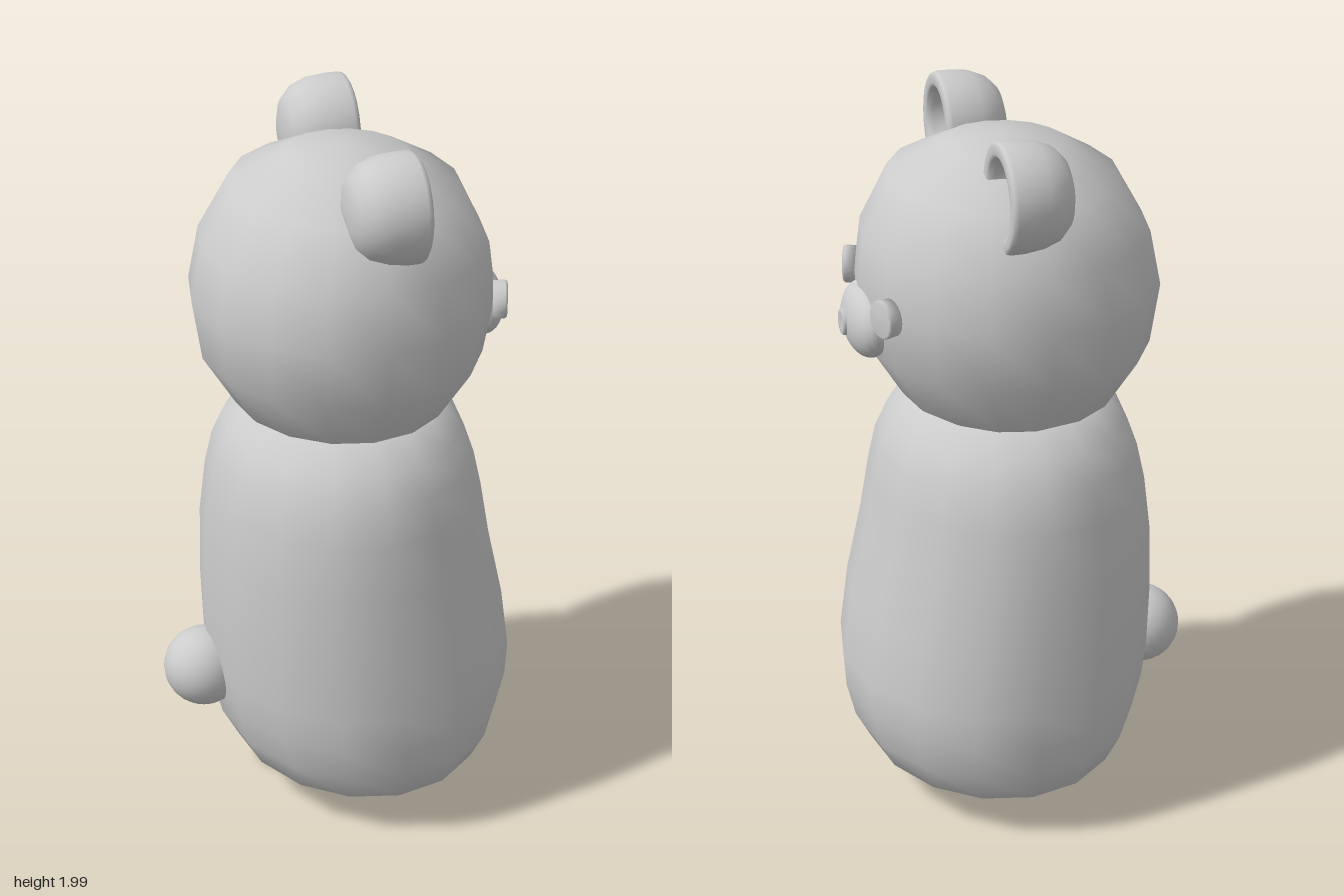
import * as THREE from 'three';
import { mergeVertices } from 'three/addons/utils/BufferGeometryUtils.js';

const material = new THREE.MeshStandardMaterial({ color: 0xcccccc });

function part(name, geometry, x = 0, y = 0, z = 0) {
  const mesh = new THREE.Mesh(geometry, material);
  mesh.name = name;
  mesh.position.set(x, y, z);
  return mesh;
}

// Stack of 16-sided oval rings, bottom to top: [y, back x, front x, half width in z]
function ovalLoft(rings) {
  const geo = new THREE.LatheGeometry(rings.map(([y]) => new THREE.Vector2(1, y)), 16);
  const pos = geo.attributes.position;
  for (let i = 0; i < pos.count; i++) {
    const [, back, front, half] = rings[i % rings.length];
    pos.setX(i, (back + front) / 2 + (pos.getX(i) * (front - back)) / 2);
    pos.setZ(i, pos.getZ(i) * half);
  }
  geo.deleteAttribute('normal');
  geo.deleteAttribute('uv');
  const welded = mergeVertices(geo, 1e-4);
  welded.computeVertexNormals();
  return welded;
}

// Solid of revolution whose axis points forward along +x: [radius, x]
function turned(profile, segments) {
  const geo = new THREE.LatheGeometry(profile.map(([r, x]) => new THREE.Vector2(r, x)), segments);
  return geo.rotateZ(-Math.PI / 2);
}

export function createModel() {
  const model = new THREE.Group();
  model.name = 'bear';

  // Body with a fuller belly towards the front
  model.add(part('body', ovalLoft([
    [0.01, 0.07, 0.07, 0],
    [0.028, -0.08, 0.22, 0.18],
    [0.068, -0.21, 0.34, 0.325],
    [0.135, -0.29, 0.425, 0.43],
    [0.22, -0.335, 0.47, 0.468],
    [0.32, -0.36, 0.494, 0.485],
    [0.42, -0.374, 0.5, 0.488],
    [0.6, -0.38, 0.475, 0.482],
    [0.8, -0.375, 0.43, 0.465],
    [0.95, -0.357, 0.404, 0.445],
    [1.05, -0.335, 0.382, 0.42],
    [1.13, -0.3, 0.347, 0.375],
    [1.195, -0.24, 0.29, 0.3],
    [1.23, -0.12, 0.17, 0.16],
    [1.24, 0.03, 0.03, 0],
  ])));

  // Head, flattened underneath where it meets the body
  model.add(part('head', ovalLoft([
    [1.185, 0.03, 0.03, 0],
    [1.188, -0.22, 0.27, 0.29],
    [1.21, -0.275, 0.31, 0.33],
    [1.355, -0.365, 0.4, 0.427],
    [1.52, -0.39, 0.43, 0.45],
    [1.67, -0.36, 0.41, 0.425],
    [1.82, -0.275, 0.335, 0.35],
    [1.905, -0.13, 0.19, 0.16],
    [1.93, 0.03, 0.03, 0],
  ])));

  // Cupped ears with rounded rims
  const earShape = turned([
    [0, -0.06], [0.05, -0.058], [0.09, -0.045], [0.122, -0.015], [0.14, 0.03],
    [0.145, 0.08], [0.145, 0.115], [0.142, 0.125], [0.134, 0.13], [0.113, 0.13],
    [0.103, 0.125], [0.099, 0.11], [0.092, 0.07], [0.075, 0.045], [0, 0.035],
  ], 24);
  const eyeShape = turned([
    [0, -0.03], [0.05, -0.03], [0.052, 0.002], [0.047, 0.008], [0, 0.01],
  ], 20);
  for (const side of [1, -1]) {
    const label = side > 0 ? 'right' : 'left';
    model.add(part(label + 'Ear', earShape, 0, 1.856, side * 0.31));

    // Button eyes lying along the curve of the face
    const eye = part(label + 'Eye', eyeShape, 0.411, 1.52, side * 0.207);
    eye.rotation.y = -side * 0.32;
    model.add(eye);
  }

  // Muzzle and round nose
  const muzzle = part('muzzle', new THREE.SphereGeometry(1, 24, 16), 0.407, 1.442, 0);
  muzzle.scale.set(0.063, 0.1, 0.137);
  model.add(muzzle);
  model.add(part('nose', turned([
    [0, -0.03], [0.036, -0.03], [0.037, 0.006], [0.031, 0.011], [0.025, 0.009], [0, 0.008],
  ], 20), 0.466, 1.44, 0));

  // Ball tail
  model.add(part('tail', new THREE.SphereGeometry(0.114, 24, 16), -0.386, 0.387, 0));

  return model;
}
